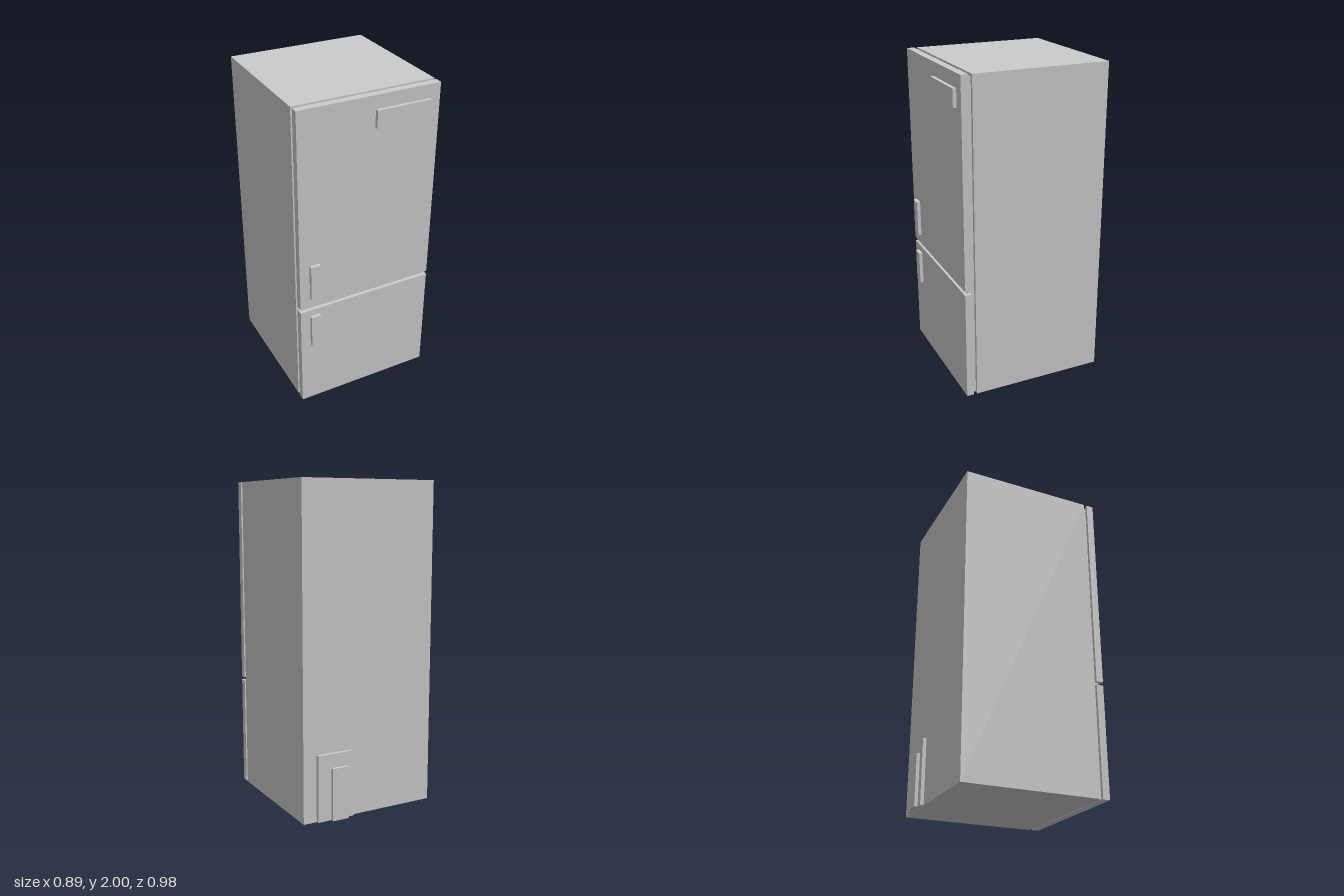
import * as THREE from 'three';

export function createModel() {
  const group = new THREE.Group();
  const material = new THREE.MeshStandardMaterial({ color: 0xcccccc, flatShading: true });

  // Adds a box given its extent along each axis
  function box(name, [x0, x1], [y0, y1], [z0, z1]) {
    const mesh = new THREE.Mesh(new THREE.BoxGeometry(x1 - x0, y1 - y0, z1 - z0), material);
    mesh.position.set((x0 + x1) / 2, (y0 + y1) / 2, (z0 + z1) / 2);
    mesh.name = name;
    group.add(mesh);
  }

  const width = [-0.443, 0.443];
  const inset = [-0.423, 0.423];
  const doorZ = [0.421, 0.466];
  const trimZ = [0.466, 0.488];

  // Cabinet
  box('cabinet', width, [0, 2], [-0.445, 0.4]);

  // Recessed seal behind the doors, and the divider in the gap between them
  box('doorSeal', inset, [0.004, 1.98], [0.4, 0.421]);
  box('doorDivider', inset, [0.699, 0.721], [0.4, 0.444]);

  // Doors
  box('freezerDoor', width, [0, 0.699], doorZ);
  box('fridgeDoor', width, [0.721, 2], doorZ);

  // Handles and front panel
  box('freezerHandle', [-0.38, -0.317], [0.438, 0.656], trimZ);
  box('fridgeHandle', [-0.38, -0.317], [0.788, 1.022], trimZ);
  box('displayPanel', [0.031, 0.378], [1.81, 1.917], trimZ);

  // Stepped compressor cover at the back
  box('compressorCover', [0.119, 0.357], [0.003, 0.412], [-0.467, -0.445]);
  box('compressorCap', [0.163, 0.27], [0.003, 0.326], [-0.488, -0.467]);

  return group;
}
